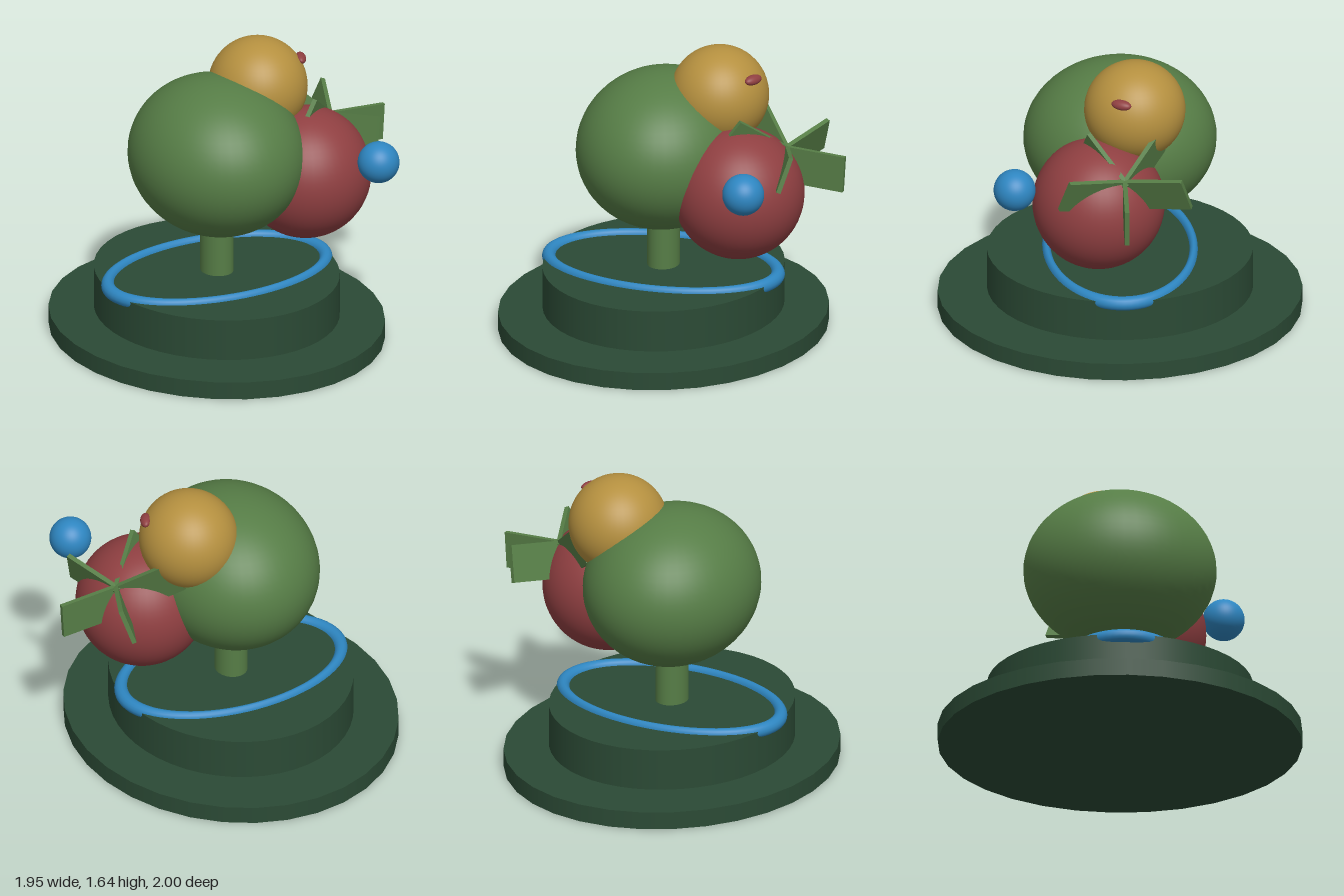
import * as THREE from 'three';

const mat = (name, color) => {
  const m = new THREE.MeshStandardMaterial({ color });
  m.name = name;
  return m;
};

export function createModel() {
  const model = new THREE.Group();
  const darkGreen = mat('dark green', 0x2b4a35);
  const green = mat('leaf green', 0x567d46);
  const red = mat('red', 0x8f3f41);
  const ochre = mat('ochre', 0xb5903f);
  const blue = mat('blue', 0x2e86c1);
  const axisX = -0.08; // the pedestal stands slightly off centre

  const add = (name, geometry, material, x, y, z, parent = model) => {
    const mesh = new THREE.Mesh(geometry, material);
    mesh.name = name;
    mesh.position.set(x, y, z);
    parent.add(mesh);
    return mesh;
  };
  // Upright elliptical cylinder between two heights
  const drum = (name, rx, rz, y0, y1, sides, material) =>
    add(name, new THREE.CylinderGeometry(1, 1, y1 - y0, sides).scale(rx, 1, rz),
      material, axisX, (y0 + y1) / 2, 0);
  const ball = (name, [rx, ry, rz], material, x, y, z) =>
    add(name, new THREE.SphereGeometry(1, 48, 32).scale(rx, ry, rz), material, x, y, z);

  // Two-tier pedestal and stem
  drum('basePlate', 0.895, 1, 0, 0.1, 32, darkGreen);
  drum('upperTier', 0.655, 0.73, 0.122, 0.357, 48, darkGreen);
  drum('stem', 0.088, 0.1, 0.355, 0.8, 32, green);

  // Oval hoop sunk into the upper tier
  const hoop = new THREE.TorusGeometry(0.65, 0.039, 16, 72).rotateX(Math.PI / 2).scale(1, 1, 0.62);
  add('hoop', hoop, blue, axisX, 0.347, 0);

  // Overlapping fruit bodies
  ball('greenBody', [0.475, 0.443, 0.53], green, axisX, 1.042, 0);
  ball('redBody', [0.362, 0.367, 0.363], red, 0.403, 0.888, 0.135);
  ball('ochreHead', [0.272, 0.275, 0.278], ochre, 0.22, 1.365, -0.07);
  ball('blueBall', [0.115, 0.115, 0.115], blue, 0.595, 1.075, 0.603);
  ball('redSpot', [0.03, 0.025, 0.058], red, 0.445, 1.51, 0.012).rotation.set(0, -0.45, -0.5, 'YZX');

  // Tilted whorl of five flat leaves
  const whorl = new THREE.Group();
  whorl.name = 'leafWhorl';
  whorl.position.set(0.6, 1.04, 0);
  whorl.rotation.z = THREE.MathUtils.degToRad(-21);
  model.add(whorl);
  const leaf = new THREE.BoxGeometry(0.37, 0.207, 0.025).translate(0.185, 0, 0);
  for (let i = 0; i < 5; i++) {
    add('leaf' + (i + 1), leaf, green, 0, 0, 0, whorl)
      .rotation.set(0, (i * Math.PI * 2) / 5, THREE.MathUtils.degToRad(17.5), 'YZX');
  }
  return model;
}
